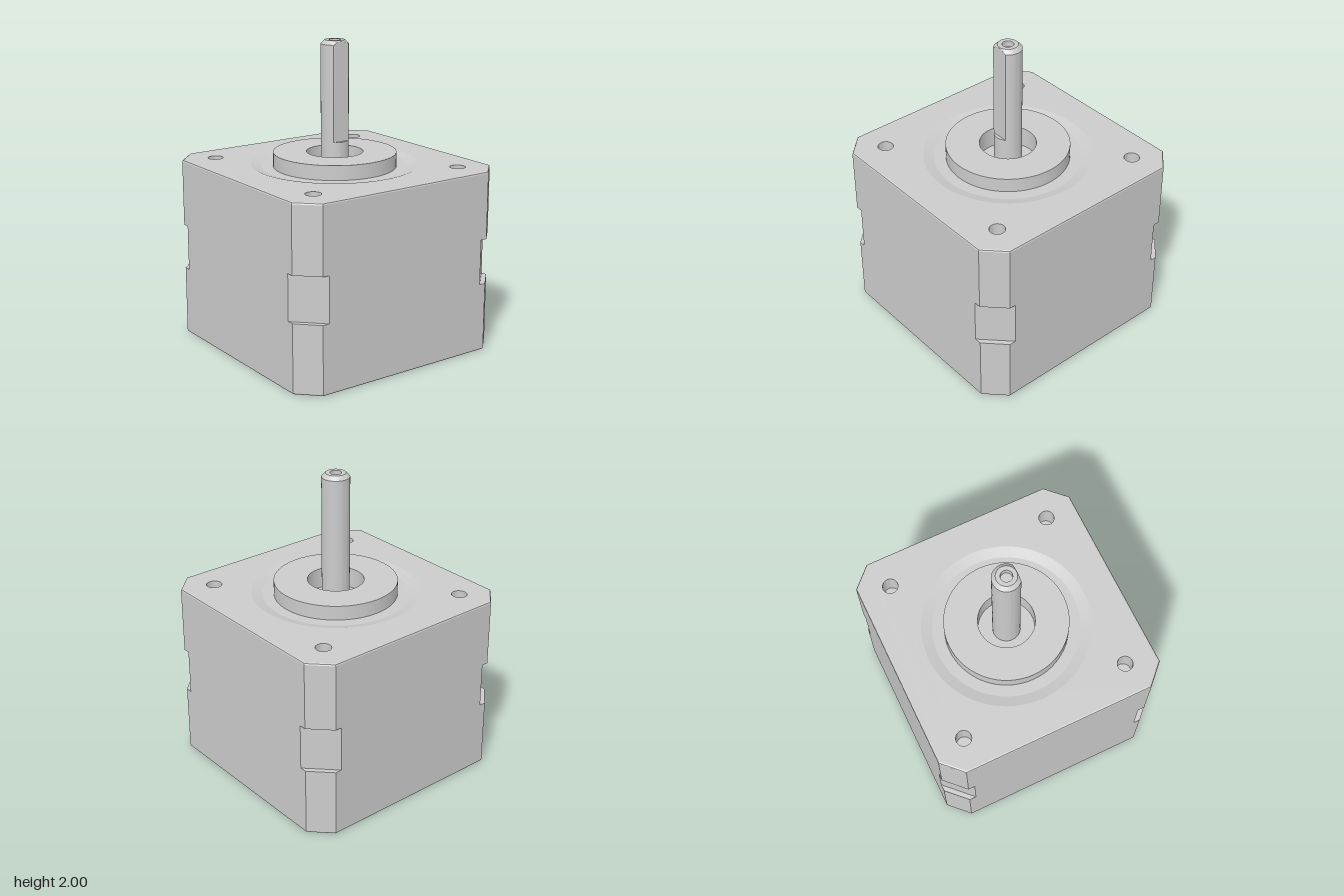
import * as THREE from 'three';
import { toCreasedNormals } from 'three/addons/utils/BufferGeometryUtils.js';

const SEG = 72;
const HALF = 0.77, TOP = 1.2;
const HOLE = 0.5625, HOLE_R = 0.05, RECESS_R = 0.545;

const material = new THREE.MeshStandardMaterial({ color: 0xcccccc });

function add(group, name, geometry) {
  const mesh = new THREE.Mesh(geometry, material);
  mesh.name = name;
  group.add(mesh);
  return mesh;
}

function lathe(profile) {
  return new THREE.LatheGeometry(profile.map(([r, y]) => new THREE.Vector2(r, y)), SEG);
}

// Square with cut corners: h is the half width, c where each corner cut begins.
function octagon(h, c) {
  return [[h, -c], [h, c], [c, h], [-c, h], [-h, c], [-h, -c], [-c, -h], [c, -h]];
}

function circlePath(x, y, r) {
  const points = [];
  for (let i = 0; i < SEG; i++) {
    const a = -i / SEG * Math.PI * 2;
    points.push(new THREE.Vector2(x + r * Math.cos(a), y + r * Math.sin(a)));
  }
  return new THREE.Path(points);
}

// Side walls from stacked octagons, with softened rims and notched corners.
function wallGeometry() {
  const e = 0.012;
  const rings = [
    [0, HALF - e, 0.635], [0.004, HALF - e * 0.3, 0.638], [e, HALF, 0.64],
    [0.455, HALF, 0.64], [0.455, HALF, 0.595], [0.755, HALF, 0.595], [0.755, HALF, 0.64],
    [TOP - e, HALF, 0.64], [TOP - 0.004, HALF - e * 0.3, 0.638], [TOP, HALF - e, 0.635],
  ].map(([y, h, c]) => octagon(h, c).map(([x, z]) => new THREE.Vector3(x, y, z)));
  const positions = [];
  const n = new THREE.Vector3();
  const tri = (a, b, c) => {
    n.subVectors(b, a).cross(c.clone().sub(a));
    if (n.length() > 1e-9) for (const p of [a, b, c]) positions.push(p.x, p.y, p.z);
  };
  for (let k = 0; k < rings.length - 1; k++) {
    const lo = rings[k], hi = rings[k + 1];
    for (let i = 0; i < 8; i++) {
      const j = (i + 1) % 8;
      tri(lo[i], hi[i], hi[j]);
      tri(lo[i], hi[j], lo[j]);
    }
  }
  const geometry = new THREE.BufferGeometry();
  geometry.setAttribute('position', new THREE.Float32BufferAttribute(positions, 3));
  geometry.computeVertexNormals();
  return geometry;
}

function faceShape() {
  return new THREE.Shape(octagon(HALF - 0.012, 0.635).map(([x, y]) => new THREE.Vector2(x, y)));
}

// Shaft with a flat on its front, a chamfered tip and a centre hole.
function shaftGeometry() {
  const r = 0.09, flat = r * Math.cos(Math.PI * 40 / 180);
  const profile = [
    [r, 1.13], [r, 1.35], [r, 1.35], [r, 1.975], [0.083, 1.982], [0.076, 1.989],
    [flat, 1.996], [0.065, 2], [0.037, 2], [0.037, 1.96], [0, 1.96],
  ];
  const geometry = lathe(profile);
  const p = geometry.attributes.position;
  for (let i = 0; i < p.count; i++) {
    if (i % profile.length >= 2) p.setZ(i, Math.min(p.getZ(i), flat));
  }
  return toCreasedNormals(geometry, 0.5);
}

export function createModel() {
  const model = new THREE.Group();
  model.name = 'motor';

  // Housing
  const housing = new THREE.Group();
  housing.name = 'housing';
  model.add(housing);
  add(housing, 'sideWalls', wallGeometry());
  add(housing, 'bottomFace', new THREE.ShapeGeometry(faceShape()).rotateX(Math.PI / 2));

  const top = faceShape();
  top.holes.push(circlePath(0, 0, RECESS_R));
  for (const x of [-HOLE, HOLE]) {
    for (const z of [-HOLE, HOLE]) {
      top.holes.push(circlePath(x, z, HOLE_R));
      const hole = toCreasedNormals(lathe([[HOLE_R, TOP], [HOLE_R, TOP - 0.15], [0, TOP - 0.15]]), 0.5);
      add(housing, 'mountingHole', hole).position.set(x, 0, z);
    }
  }
  add(housing, 'topFace', new THREE.ShapeGeometry(top).rotateX(-Math.PI / 2).translate(0, TOP, 0));

  // Shallow recess, raised boss and the bore around the shaft
  const boss = lathe([
    [RECESS_R, TOP], [0.475, 1.18], [0.4, 1.18], [0.4, 1.275],
    [0.183, 1.275], [0.183, 1.14], [0, 1.14],
  ]);
  add(model, 'pilotBoss', toCreasedNormals(boss, 0.2));

  add(model, 'shaft', shaftGeometry());
  return model;
}
